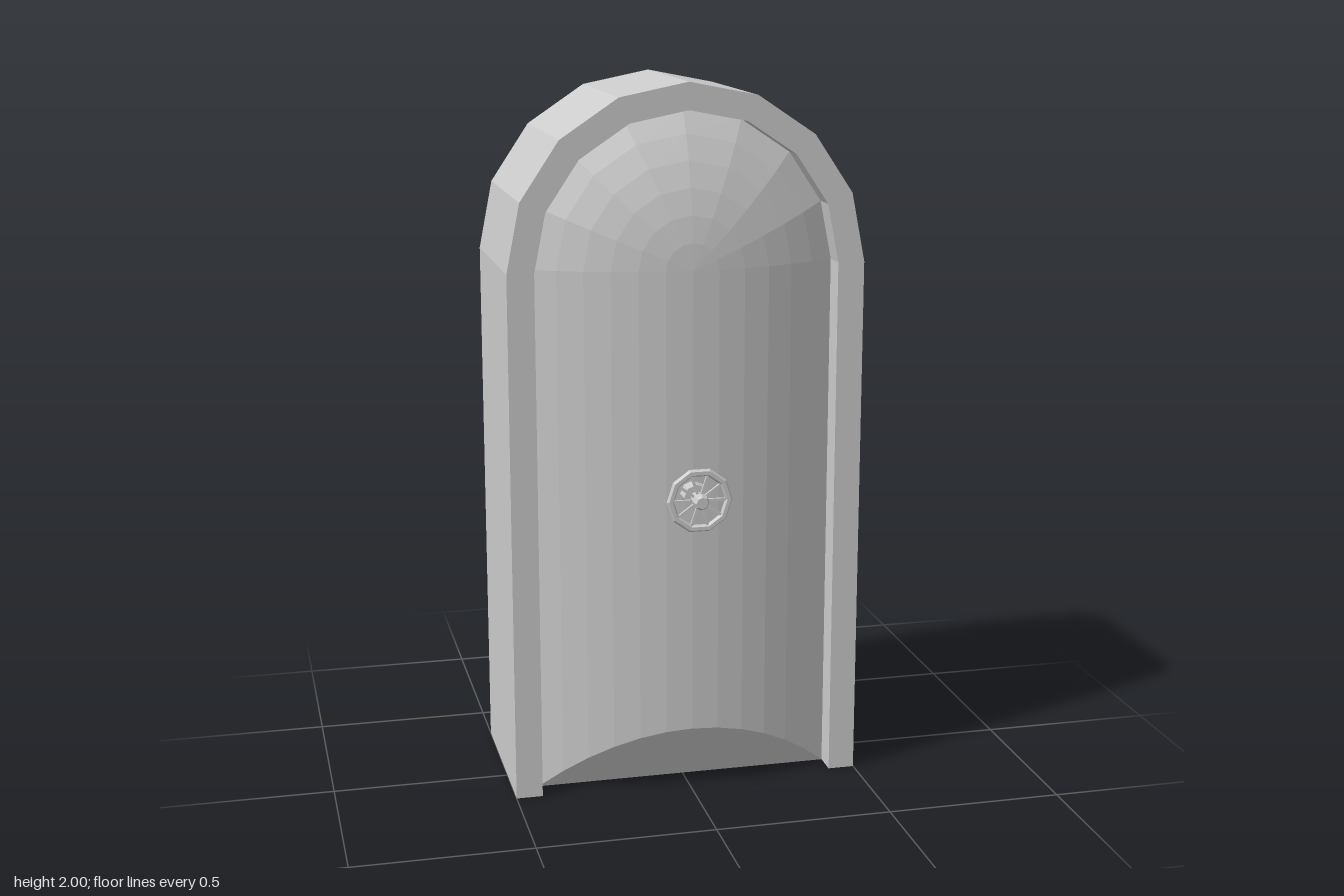
import * as THREE from 'three';

const SPRING = 1.5, INNER = 0.425, STEPS = 8;
const FRONT = 0.17, BACK = -0.33, FLOOR_BACK = -0.25;
const BULGE_R = 0.8126, CROWN = 0.22, RIM_Z = 0.1, KNOB_Y = 0.88;

const grey = new THREE.MeshStandardMaterial({ color: 0xcccccc, flatShading: true });
const thin = new THREE.MeshStandardMaterial({ color: 0xcccccc, flatShading: true, side: THREE.DoubleSide });

function add(parent, name, geometry, material = grey) {
  const mesh = new THREE.Mesh(geometry, material);
  mesh.name = name;
  parent.add(mesh);
  return mesh;
}

// Half-round arch points from +r to -r
function archPoints(r) {
  return Array.from({ length: STEPS + 1 }, (_, i) => {
    const a = (i / STEPS) * Math.PI;
    return new THREE.Vector2(r * Math.cos(a), SPRING + r * Math.sin(a));
  });
}

// Surface through rows of equally many points
function surface(rows) {
  const n = rows[0].length, index = [];
  for (let j = 0; j < rows.length - 1; j++)
    for (let i = 0; i < n - 1; i++) {
      const a = j * n + i, b = a + 1, c = a + n, d = c + 1;
      index.push(a, b, d, a, d, c);
    }
  const g = new THREE.BufferGeometry();
  g.setAttribute('position', new THREE.Float32BufferAttribute(rows.flat(2), 3));
  g.setIndex(index);
  g.computeVertexNormals();
  return g;
}

function makeFrame() {
  const outline = [
    new THREE.Vector2(INNER, 0), new THREE.Vector2(0.5, 0),
    ...archPoints(0.5),
    new THREE.Vector2(-0.5, 0), new THREE.Vector2(-INNER, 0),
    ...archPoints(INNER).reverse(),
  ];
  const g = new THREE.ExtrudeGeometry(new THREE.Shape(outline), { depth: FRONT - BACK, bevelEnabled: false });
  return g.translate(0, 0, BACK);
}

function makeDoor() {
  const door = new THREE.Group();
  door.name = 'door';
  // Bulge profile: radius from the centre line and matching depth
  const maxAngle = Math.asin(INNER / BULGE_R);
  const profile = Array.from({ length: 7 }, (_, i) => {
    const a = (i / 6) * maxAngle;
    return { r: BULGE_R * Math.sin(a), z: CROWN - BULGE_R * (1 - Math.cos(a)) };
  });
  const across = [
    ...profile.slice(1).reverse().map(p => ({ x: -p.r, z: p.z })),
    ...profile.map(p => ({ x: p.r, z: p.z })),
  ];
  const sillY = z => Math.max(0, (z - RIM_Z) * 1.54);

  // Curved panel, domed head, sloping sill and floor
  add(door, 'doorPanel', surface([
    across.map(p => [p.x, sillY(p.z), p.z]),
    across.map(p => [p.x, SPRING, p.z]),
  ]), thin);
  add(door, 'doorHead', surface(profile.map(p =>
    archPoints(p.r).reverse().map(q => [q.x, q.y, p.z]))), thin);
  add(door, 'slopingSill', surface([
    across.map(p => [p.x, 0, RIM_Z]),
    across.map(p => [p.x, sillY(p.z), p.z]),
  ]), thin);
  add(door, 'floor', surface([
    [[-INNER, 0, FLOOR_BACK], [INNER, 0, FLOOR_BACK]],
    [[-INNER, 0, RIM_Z], [INNER, 0, RIM_Z]],
  ]), thin);
  return door;
}

function makeHandwheel() {
  const wheel = new THREE.Group();
  wheel.name = 'handwheel';
  wheel.position.set(0, KNOB_Y, 0);

  // Bushing through the door, open at the back
  const bushing = new THREE.LatheGeometry([
    new THREE.Vector2(0.036, 0.195), new THREE.Vector2(0.036, 0.266), new THREE.Vector2(0, 0.266),
  ], 8);
  add(wheel, 'bushing', bushing.rotateX(Math.PI / 2), thin);

  // Spindle with a wider rounded hub
  const spindle = new THREE.LatheGeometry([
    [0.018, 0.26], [0.018, 0.285], [0.022, 0.288], [0.022, 0.32], [0.016, 0.33], [0, 0.33],
  ].map(p => new THREE.Vector2(...p)), 8);
  add(wheel, 'spindle', spindle.rotateX(Math.PI / 2), thin);

  // Rim and spokes
  const rim = add(wheel, 'wheelRim', new THREE.TorusGeometry(0.082, 0.0105, 6, 10));
  rim.position.z = 0.297;
  for (let i = 0; i < 10; i++) {
    const g = new THREE.BoxGeometry(0.064, 0.007, 0.008);
    g.translate(0.048, 0, 0.297).rotateZ((i / 10) * Math.PI * 2);
    add(wheel, 'wheelSpoke', g);
  }
  return wheel;
}

export function createModel() {
  const model = new THREE.Group();
  model.name = 'archedDoor';
  add(model, 'archFrame', makeFrame());
  model.add(makeDoor(), makeHandwheel());
  return model;
}
